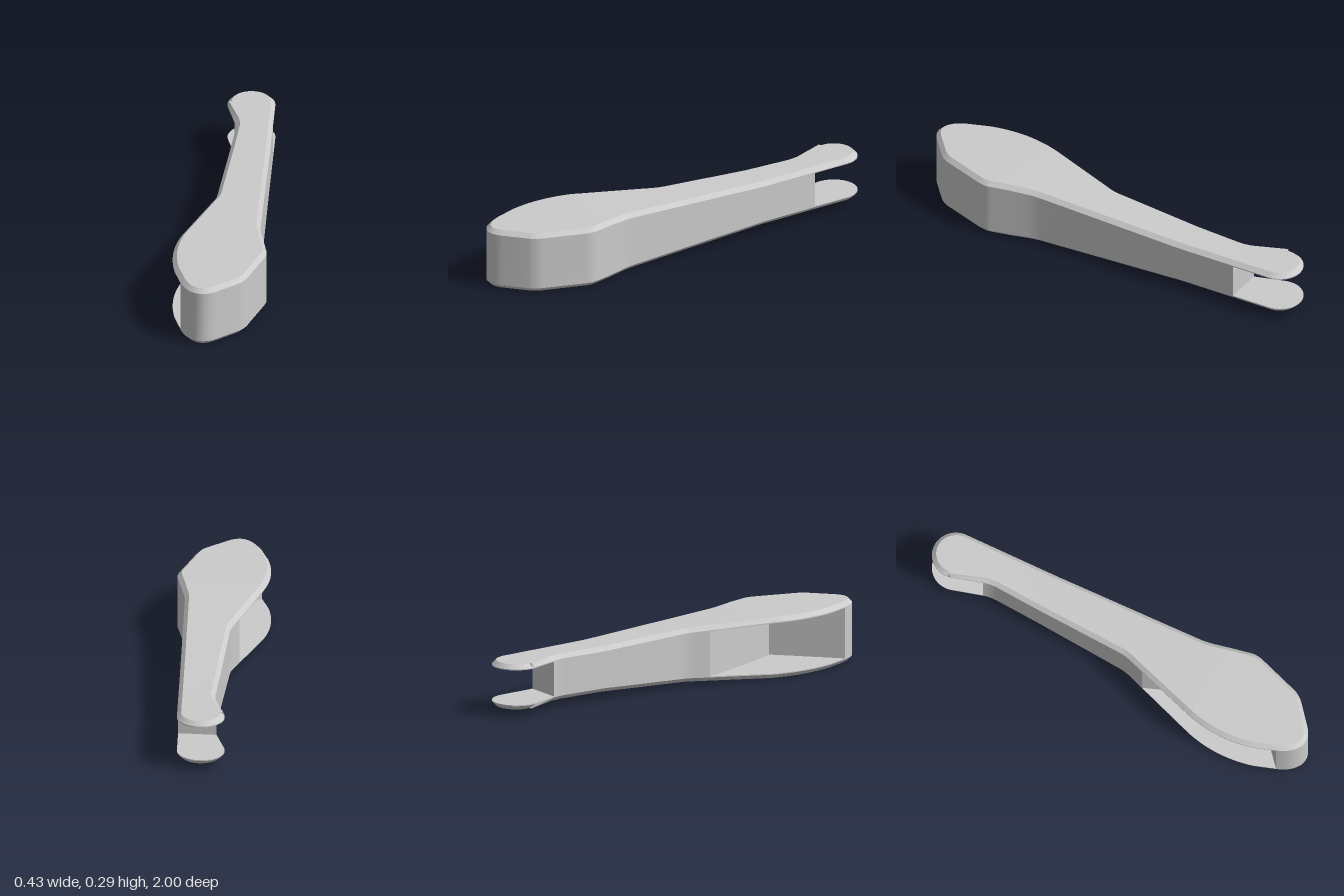
import * as THREE from 'three';
import { toCreasedNormals } from 'three/addons/utils/BufferGeometryUtils.js';

const MID = 0.1465, BACK = -0.42, FRONT = 0.47; // mid height, ends of the taper
const CUT = -0.71, POCKET_BACK = 0.16, POCKET_FRONT = 0.9;

// Half height of the handle along its length
const half = z => THREE.MathUtils.mapLinear(THREE.MathUtils.clamp(z, BACK, FRONT), BACK, FRONT, 0.109, MID);

// Handle outline seen from above, as (x, z)
function outline() {
  const s = new THREE.Shape();
  s.moveTo(0.068, -0.888);
  s.lineTo(0.153, 0.31);
  s.quadraticCurveTo(0.156, 0.35, 0.167, 0.39);
  s.lineTo(0.208, 0.545);
  s.quadraticCurveTo(0.22, 0.58, 0.21, 0.62);
  s.lineTo(0.16, 0.8);
  s.quadraticCurveTo(0.15, 0.85, 0.12, 0.88);
  s.lineTo(0.03, 0.965);
  s.quadraticCurveTo(-0.045, 1.035, -0.115, 0.96);
  s.quadraticCurveTo(-0.135, 0.935, -0.15, 0.9);
  s.lineTo(-0.19, 0.8);
  s.quadraticCurveTo(-0.248, 0.61, -0.19, 0.42);
  s.lineTo(-0.105, 0.11);
  s.quadraticCurveTo(-0.088, 0.06, -0.088, 0.02);
  s.lineTo(-0.088, -0.64);
  s.quadraticCurveTo(-0.088, -0.675, -0.1, -0.71);
  s.lineTo(-0.149, -0.85);
  s.absarc(-0.044, -0.888, 0.112, Math.PI - 0.35, Math.PI * 2, false);
  let pts = s.getPoints(10);
  if (pts[0].distanceTo(pts[pts.length - 1]) < 1e-4) pts.pop();
  // Add points where the taper starts and ends and where the core is cut
  for (const z of [CUT, BACK, POCKET_BACK, FRONT, POCKET_FRONT]) {
    pts = pts.flatMap((a, i) => {
      const b = pts[(i + 1) % pts.length];
      if (Math.abs(a.y - z) < 1e-4) a.y = z;
      if ((a.y - z) * (b.y - z) >= 0 || Math.abs(b.y - z) < 1e-4) return [a];
      const p = a.clone().lerp(b, (z - a.y) / (b.y - a.y));
      p.y = z;
      return [a, p];
    });
  }
  return pts;
}

// Move every outline point inwards by d
function inset(pts, d) {
  const n = pts.length;
  return pts.map((p, i) => {
    const t = p.clone().sub(pts[(i + n - 1) % n]).normalize()
      .add(pts[(i + 1) % n].clone().sub(p).normalize()).normalize();
    return new THREE.Vector2(p.x - t.y * d, p.y + t.x * d);
  });
}

// Stack rings from low to high; each ring is { pts, y(z) }
function stack(rings, base, capped) {
  const pos = [], n = base.length;
  const put = (r, i) => pos.push(r.pts[i].x, r.y(r.pts[i].y) + MID, r.pts[i].y);
  for (let k = 0; k + 1 < rings.length; k++) {
    const lo = rings[k], hi = rings[k + 1];
    for (let i = 0; i < n; i++) {
      const j = (i + 1) % n;
      put(lo, i); put(hi, i); put(lo, j);
      put(lo, j); put(hi, i); put(hi, j);
    }
  }
  // Caps in three zones, so that they bend where the taper starts and ends
  if (capped) for (const [z0, z1] of [[-2, BACK], [BACK, FRONT], [FRONT, 2]]) {
    const ids = base.map((_, i) => i).filter(i => base[i].y >= z0 && base[i].y <= z1);
    const tris = THREE.ShapeUtils.triangulateShape(ids.map(i => base[i].clone()), []);
    for (const [a, b, c] of tris) {
      [a, b, c].forEach(i => put(rings[0], ids[i]));
      [a, c, b].forEach(i => put(rings[rings.length - 1], ids[i]));
    }
  }
  const g = new THREE.BufferGeometry();
  g.setAttribute('position', new THREE.Float32BufferAttribute(pos, 3));
  return toCreasedNormals(g, 0.4);
}

export function createModel() {
  const group = new THREE.Group();
  const material = new THREE.MeshStandardMaterial({ color: 0xcccccc });
  const add = (name, geometry, mat = material) => {
    const mesh = new THREE.Mesh(geometry, mat);
    mesh.name = name;
    group.add(mesh);
  };

  // Two bevelled cover plates, mirrored about the middle
  const edge = outline(), small = inset(edge, 0.02);
  add('topPlate', stack([
    { pts: edge, y: z => half(z) - 0.025 },
    { pts: edge, y: z => half(z) - 0.02 },
    { pts: small, y: z => half(z) },
  ], edge, true));
  add('bottomPlate', stack([
    { pts: small, y: z => -half(z) },
    { pts: edge, y: z => 0.02 - half(z) },
    { pts: edge, y: z => 0.025 - half(z) },
  ], edge, true));

  // Core between the plates: cut off at the back, with a corner pocket on one side
  const core = edge.filter(p => p.y >= CUT && !(p.x < 0 && p.y > POCKET_BACK && p.y < POCKET_FRONT));
  const at = core.findIndex(p => p.x < 0 && p.y === POCKET_FRONT);
  core.splice(at + 1, 0, new THREE.Vector2(0.11, 0.65), new THREE.Vector2(0.026, FRONT));
  add('core', stack([
    { pts: core, y: z => 0.025 - half(z) },
    { pts: core, y: z => half(z) - 0.025 },
  ], core, false));
  return group;
}
